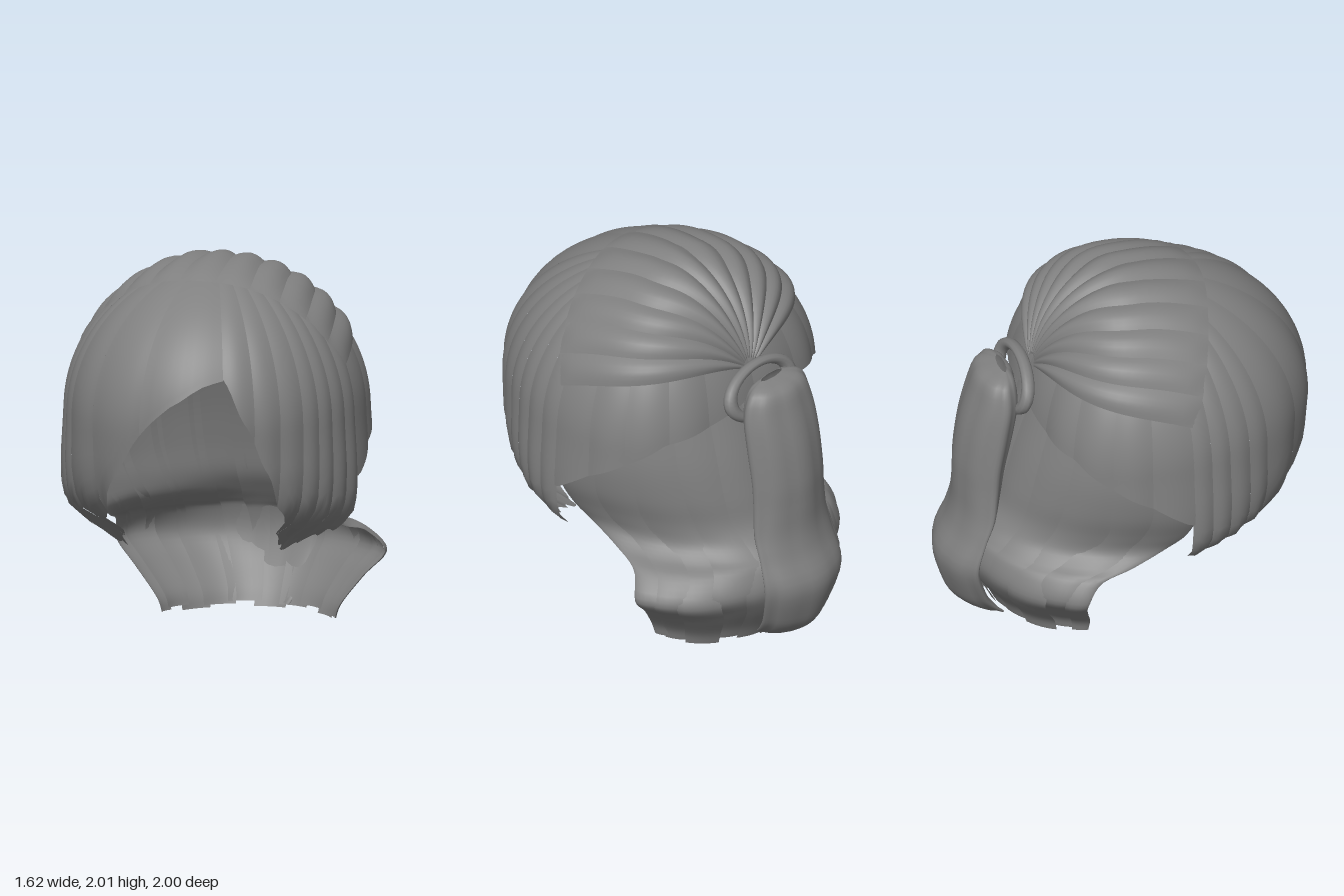
import * as THREE from 'three';

const hair = new THREE.MeshStandardMaterial({ color: 0x808080, side: THREE.DoubleSide });
hair.name = 'grey hair';

// Piecewise linear lookup: rows of [key, value, value...] with rising keys
function lookup(rows, k) {
  let i = 0;
  while (i < rows.length - 2 && k > rows[i + 1][0]) i++;
  const a = rows[i], b = rows[i + 1];
  const t = THREE.MathUtils.clamp((k - a[0]) / (b[0] - a[0]), 0, 1);
  return a.slice(1).map((v, j) => v + (b[j + 1] - v) * t);
}

// Smooth curve through rows, t from 0 to 1
function smoothRow(rows, t) {
  const n = rows.length - 1, f = Math.min(t * n, n - 1e-6), i = Math.floor(f), w = f - i;
  const r = (k) => rows[THREE.MathUtils.clamp(k, 0, n)];
  return rows[0].map((_, j) => {
    const [a, b, c, d] = [r(i - 1)[j], r(i)[j], r(i + 1)[j], r(i + 2)[j]];
    return b + 0.5 * w * (c - a + w * (2 * a - 5 * b + 4 * c - d + w * (3 * (b - c) + d - a)));
  });
}

// Grid surface from a function (u, v) -> [x, y, z]
function sheet(name, nu, nv, fn) {
  const pos = [], idx = [];
  for (let i = 0; i <= nu; i++) for (let j = 0; j <= nv; j++) pos.push(...fn(i / nu, j / nv));
  for (let i = 0; i < nu; i++) for (let j = 0; j < nv; j++) {
    const a = i * (nv + 1) + j, b = a + nv + 1;
    idx.push(a, a + 1, b, b, a + 1, b + 1);
  }
  const g = new THREE.BufferGeometry();
  g.setAttribute('position', new THREE.Float32BufferAttribute(pos, 3));
  g.setIndex(idx);
  g.computeVertexNormals();
  const m = new THREE.Mesh(g, hair);
  m.name = name;
  return m;
}

// Head shape: below y = 1.2 the hair tucks in (y, width factor, front depth factor)
const tuck = [[0.45, 0.66, 0.38], [0.6, 0.9, 0.52], [0.7, 1, 0.8], [0.8, 1.02, 0.91], [0.95, 1.02, 0.97], [1.2, 1, 1]];
const CAP = 0.775;

// Point on the head at angle phi from the front (towards +x) and height y
function head(phi, y, off) {
  const s = Math.sin(phi), c = Math.cos(phi);
  const up = THREE.MathUtils.clamp((y - 1.2) / CAP, 0, 1);
  const level = Math.sqrt(1 - up * up);
  const [fx, fz] = lookup(tuck, y).map((f) => Math.max(f * level, 1e-3));
  const p = c > 0 ? 2 : 2.7;
  const X = 0.78 * fx;
  const Z = c > 0 ? 0.905 * fz : 0.625 * Math.min(1, fx);
  const r = Math.pow(Math.pow(Math.abs(s / X), p) + Math.pow(Math.abs(c / Z), p), -1 / p);
  const out = r + off * level;
  return [out * s, y + off * up, 0.1 + out * c];
}

// Lower hems by angle in degrees from the front
const sideHem = [[80, 0.88], [85, 0.88], [100, 1.03], [130, 1.27], [180, 1.38]];
const fringeHem = [
  [-84.4, 0.62], [-70, 0.57], [-57, 0.48], [-45, 0.6], [-30, 0.75], [-12.6, 1.12], [0, 1.34],
  [19, 1.48], [31, 1.1], [40, 0.8], [49, 0.6], [58, 0.5], [70, 0.58], [84.4, 0.62],
];

// Locks hanging from the crown between successive angles
function addLocks(group, name, angles, hemAt, bulge, jag) {
  for (let k = 0; k < angles.length - 1; k++) {
    const a = angles[k], b = angles[k + 1];
    group.add(sheet(name, 8, 30, (u, v) => {
      const deg = a + (b - a) * u;
      const end = hemAt(deg) + jag * Math.sin(u * 9 + k * 2.3);
      const y = 1.2 + CAP - (1.2 + CAP - end) * Math.pow(v, 1.7);
      return head(THREE.MathUtils.degToRad(deg), y, bulge * Math.sin(Math.PI * u) * v);
    }));
  }
}

// Combed strand from the forehead over the crown to the knot
function combed(w0, w1) {
  const tilt = 0.4;
  const knot = new THREE.Vector3(0, 0.39, -0.92).normalize();
  return sheet('combedStrand', 6, 24, (u, v) => {
    const w = w0 + (w1 - w0) * u;
    const d = new THREE.Vector3(Math.sin(w), Math.cos(w) * Math.cos(tilt), Math.cos(w) * Math.sin(tilt));
    const ang = d.angleTo(knot), t = v * 0.95;
    d.multiplyScalar(Math.sin((1 - t) * ang)).addScaledVector(knot, Math.sin(t * ang)).normalize();
    const wave = Math.max(0, Math.sin(Math.PI * v));
    const lift = 0.004 + Math.sqrt(wave) * (0.005 + 0.024 * Math.sin(Math.PI * u))
      + 0.035 * wave * v * Math.cos(w) ** 2;
    return head(Math.atan2(d.x, d.z), 1.2 + CAP * d.y, lift);
  });
}

// Nape hair: y, half width, z of side edge, z of middle back, sideways shift
const nape = [
  [1.4, 0.71, 0.18, -0.49, 0], [1.1, 0.74, 0.2, -0.59, 0], [0.88, 0.72, 0.22, -0.65, 0],
  [0.72, 0.66, 0.18, -0.69, 0], [0.62, 0.62, 0.08, -0.75, 0], [0.55, 0.64, -0.1, -0.8, 0],
  [0.5, 0.68, -0.28, -0.83, 0.02], [0.38, 0.73, -0.36, -0.85, 0.05], [0.25, 0.62, -0.33, -0.81, 0.05],
  [0.1, 0.5, -0.28, -0.72, 0.06], [0.02, 0.47, -0.28, -0.68, 0.06],
];

function napeLock(k, count) {
  const step = Math.PI / count, inset = (k % 2) * 0.012;
  return sheet('napeLock', 6, 44, (u, v) => {
    const a = -Math.PI / 2 + (k - 0.15 + u * 1.3) * step;
    const ang = THREE.MathUtils.clamp(a, -Math.PI / 2, Math.PI / 2);
    const [y, x, ez, bz, shift] = smoothRow(nape, v);
    const s = 1 - inset * v + 0.012 * Math.sin(Math.PI * u);
    const back = Math.pow(Math.max(0, Math.cos(ang)), 1 + 0.4 * v);
    const hemY = Math.max(0, y + 0.016 * v * Math.sin(k * 2.1));
    return [shift + x * s * Math.sin(ang), hemY, ez + (bz - ez) * s * back];
  });
}

// Ponytail: y, middle z, half depth, half width
const tail = [
  [1.535, -0.63, 0.02, 0.08], [1.5, -0.665, 0.09, 0.19], [1.38, -0.685, 0.12, 0.24], [1.2, -0.725, 0.13, 0.25],
  [1.0, -0.765, 0.12, 0.25], [0.85, -0.785, 0.105, 0.255], [0.7, -0.81, 0.085, 0.27], [0.57, -0.865, 0.06, 0.28],
  [0.4, -0.917, 0.078, 0.29], [0.2, -0.87, 0.08, 0.24], [0.1, -0.82, 0.075, 0.2], [0.03, -0.765, 0.045, 0.16],
];

export function createModel() {
  const model = new THREE.Group();
  model.name = 'ponytailHair';

  // Swept sides and back, then the two halves of the fringe
  const sides = [82, 100, 115, 132, 150, 180];
  const sideAt = (deg) => lookup(sideHem, Math.abs(deg))[0];
  const fringeAt = (deg) => lookup(fringeHem, deg)[0];
  addLocks(model, 'leftSweptSide', sides, sideAt, 0.012, 0);
  addLocks(model, 'rightSweptSide', sides.map((d) => -d).reverse(), sideAt, 0.012, 0);
  addLocks(model, 'rightFringe', [-84.4, -76, -68, -59, -50, -32, -10, 19], fringeAt, 0.014, 0.012);
  addLocks(model, 'leftFringe', [19, 30, 40, 50, 58, 66, 75, 84.4], fringeAt, 0.014, 0.012);

  // Raised strands combed back to the knot
  const strands = 11, span = 2.4;
  for (let i = 0; i < strands; i++) {
    const w = -span / 2 + (span * i) / strands;
    model.add(combed(w, w + span / strands));
  }

  // Nape hair
  for (let k = 0; k < 11; k++) model.add(napeLock(k, 11));

  // Ponytail with shallow grooves, its sides wrapping forward towards the tip
  model.add(sheet('ponytail', 48, 44, (u, v) => {
    const a = u * Math.PI * 2;
    const [y, z, dz, dx] = smoothRow(tail, v);
    const g = 0.94 + 0.06 * Math.abs(Math.cos(a * 4));
    return [0.01 + dx * g * Math.sin(a), y, z + dz * g * Math.cos(a) + 0.1 * v * Math.sin(a) ** 2];
  }));

  // Band of hair wrapped round the ponytail root
  const tie = new THREE.Mesh(new THREE.TorusGeometry(0.2, 0.035, 10, 40), hair);
  tie.name = 'hairTie';
  tie.scale.set(1.15, 0.68, 1);
  tie.rotation.x = 0.3;
  tie.position.set(0.02, 1.43, -0.56);
  model.add(tie);

  return model;
}
